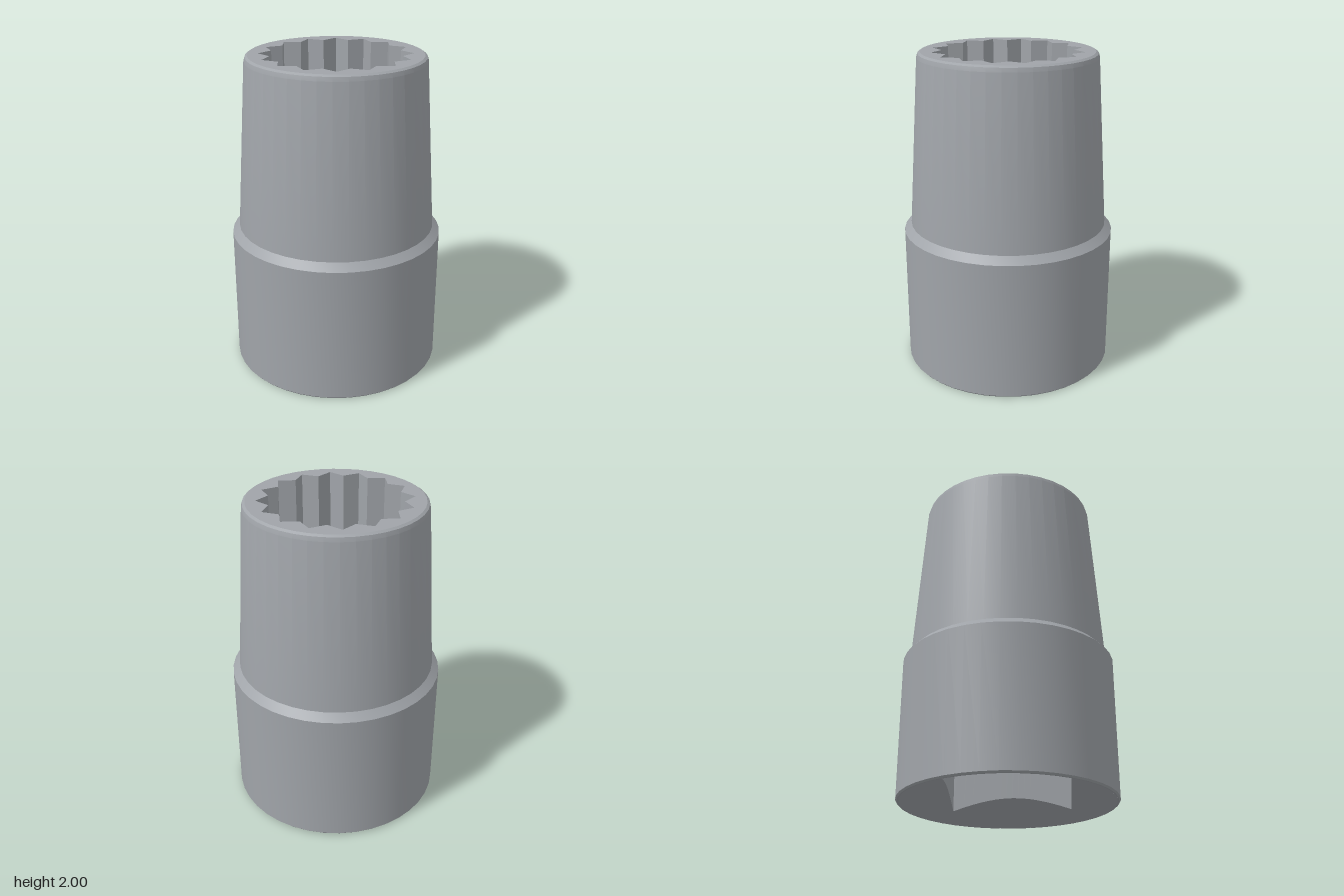
import * as THREE from 'three';
import { toCreasedNormals } from 'three/addons/utils/BufferGeometryUtils.js';

const SHELF_Y = 0.8;   // end of the square drive hole
const FLOOR_Y = 1.25;  // bottom of the splined mouth
const BORE_R = 0.19;

// closed loop of points from a radius rule and a height rule
function loop(count, radius, height) {
  return Array.from({ length: count }, (_, i) => {
    const a = (i / count) * Math.PI * 2;
    const r = radius(a, i);
    return new THREE.Vector3(r * Math.cos(a), height(r), r * Math.sin(a));
  });
}

// inward-facing wall between a lower and an upper loop
function wall(low, high) {
  const n = low.length;
  const index = [];
  for (let i = 0; i < n; i++) {
    const j = (i + 1) % n;
    index.push(i, j, n + j, i, n + j, n + i);
  }
  const geo = new THREE.BufferGeometry().setFromPoints([...low, ...high]);
  geo.setIndex(index);
  geo.computeVertexNormals();
  return geo;
}

// flat horizontal plate with a hole, facing up (1) or down (-1)
function plate(outer, hole, y, facing) {
  const flat = pts => pts.map(p => new THREE.Vector2(p.x, p.z));
  const shape = new THREE.Shape(flat(outer));
  shape.holes.push(new THREE.Path(flat(hole)));
  return new THREE.ShapeGeometry(shape).rotateX(-facing * Math.PI / 2).translate(0, y, 0);
}

export function createModel() {
  const group = new THREE.Group();
  const steel = new THREE.MeshStandardMaterial({ color: 0xa0a4a9, side: THREE.DoubleSide });
  const add = (name, geo) => {
    const mesh = new THREE.Mesh(geo, steel);
    mesh.name = name;
    group.add(mesh);
  };

  // outer shell: wide base, shoulder and tapered nose
  const profile = [
    [0.645, 0], [0.655, 0], [0.664, 0.01], [0.664, 0.875], [0.62, 0.92],
    [0.552, 1.965], [0.545, 1.99], [0.53, 2],
  ].map(([x, y]) => new THREE.Vector2(x, y));
  add('outerShell', toCreasedNormals(new THREE.LatheGeometry(profile, 40), 0.25));

  // loops shared by the inner surfaces
  const ring = (r, y, n = 40) => loop(n, () => r, () => y);
  const squareR = a => 0.378 / Math.max(Math.abs(Math.cos(a)), Math.abs(Math.sin(a)));
  const square = h => loop(64, squareR, h);
  const star = y => loop(32, (a, i) => (i % 2 ? 0.467 : 0.4), () => y);
  const squareMouth = square(r => 0.5 * (0.645 - r));
  const squareEnd = square(() => SHELF_Y);

  // splined mouth at the top
  add('topRim', plate(ring(0.53, 2), star(2), 2, 1));
  add('splineWalls', toCreasedNormals(wall(star(FLOOR_Y), star(2)), 0.1));
  add('splineFloor', plate(star(FLOOR_Y), ring(BORE_R, 0), FLOOR_Y, 1));

  // central bore
  add('bore', wall(ring(BORE_R, SHELF_Y), ring(BORE_R, FLOOR_Y)));

  // square drive hole with conical lead-in at the bottom
  add('driveLeadIn', wall(ring(0.645, 0, 64), squareMouth));
  add('driveWalls', toCreasedNormals(wall(squareMouth, squareEnd), 0.3));
  add('driveShelf', plate(squareEnd, ring(BORE_R, 0), SHELF_Y, -1));

  return group;
}
